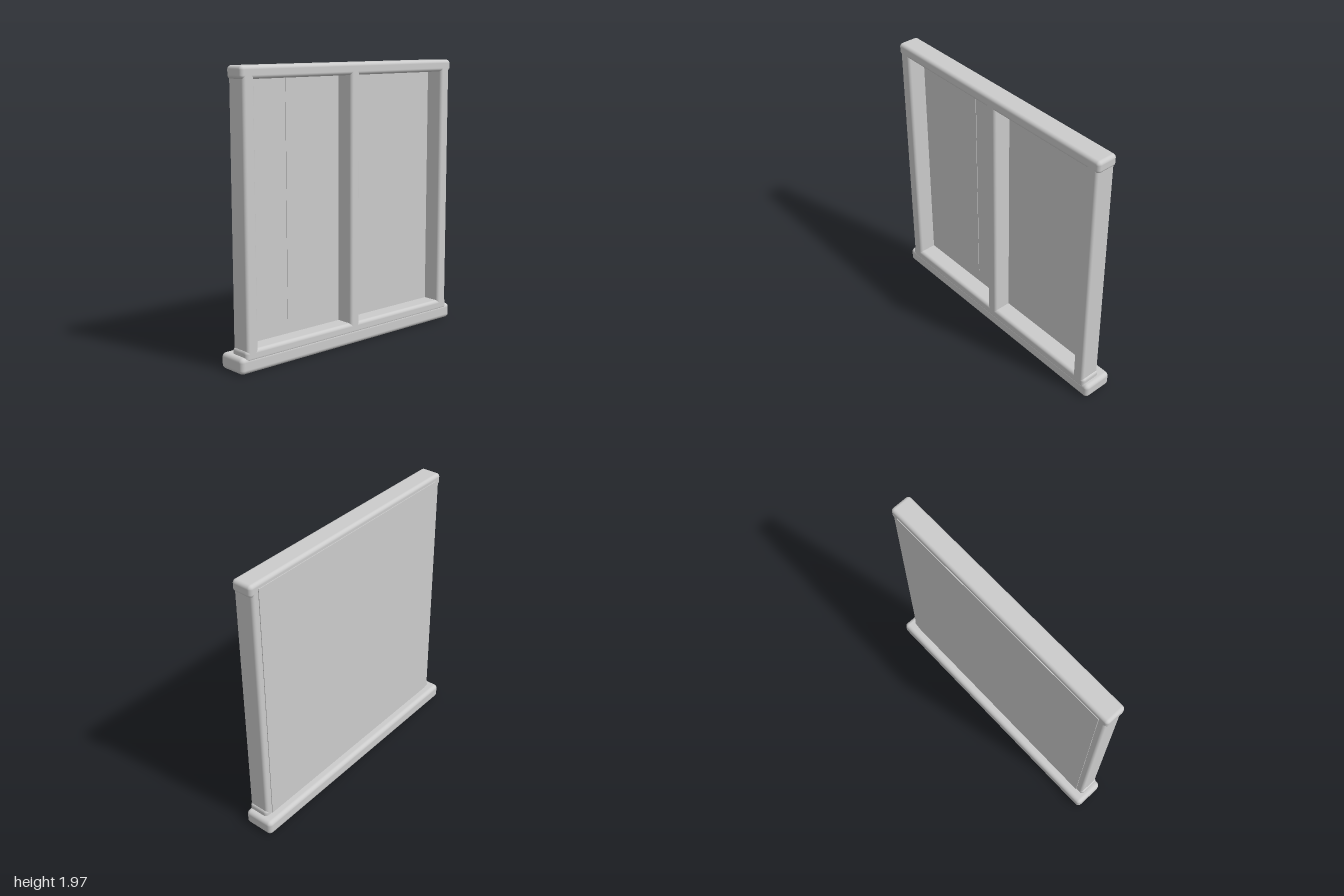
import * as THREE from 'three';
import { RoundedBoxGeometry } from 'three/addons/geometries/RoundedBoxGeometry.js';

export function createModel() {
  const group = new THREE.Group();
  const material = new THREE.MeshStandardMaterial({ color: 0xcccccc });

  // Box given by its extents on each axis, rounded when a radius is set
  function addBox(name, [x0, x1], [y0, y1], [z0, z1], radius = 0) {
    const size = [x1 - x0, y1 - y0, z1 - z0];
    const geometry = radius
      ? new RoundedBoxGeometry(...size, 4, radius)
      : new THREE.BoxGeometry(...size);
    const mesh = new THREE.Mesh(geometry, material);
    mesh.name = name;
    mesh.position.set((x0 + x1) / 2, (y0 + y1) / 2, (z0 + z1) / 2);
    group.add(mesh);
  }

  const frameZ = [-0.045, 0.11];

  // Wide sill at the foot
  addBox('sill', [-1, 1], [0, 0.11], [-0.115, 0.11], 0.03);

  // Horizontal rails
  addBox('bottomRail', [-0.96, 0.96], [0.075, 0.155], frameZ, 0.025);
  addBox('topRail', [-0.965, 0.965], [1.885, 1.97], frameZ, 0.025);

  // Upright posts and centre mullion
  addBox('leftPost', [0.86, 0.95], [0.1, 1.93], frameZ, 0.022);
  addBox('rightPost', [-0.95, -0.86], [0.1, 1.93], frameZ, 0.022);
  addBox('mullion', [-0.042, 0.042], [0.1, 1.93], frameZ, 0.022);

  // Recessed panel, just proud of the frame at the back
  addBox('backPanel', [-0.9, 0.9], [0.1, 1.93], [-0.05, -0.02]);

  // Thin vertical strip laid on the panel
  addBox('panelStrip', [-0.51, -0.295], [0.257, 1.9], [-0.03, -0.016]);

  return group;
}
